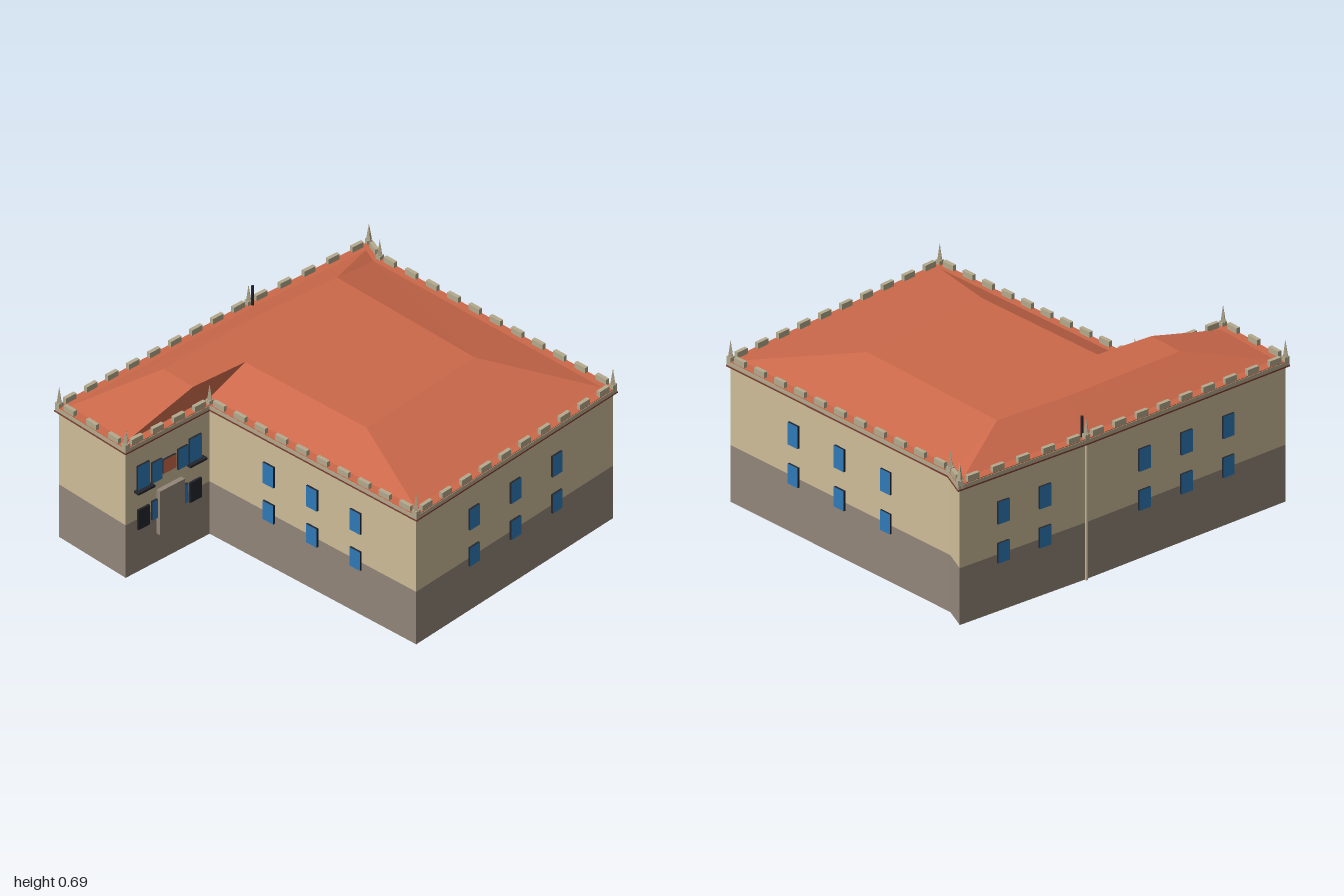
import * as THREE from 'three';

const mat = (name, color, side = THREE.FrontSide) => {
  const m = new THREE.MeshStandardMaterial({ color, side });
  m.name = name;
  return m;
};

// Wall corners in plan (x, z), running round the building from the back left corner
const PLAN = [
  [-0.985, -0.295], [-0.08, -0.65], [0.485, -0.85], [0.485, -0.74],
  [0.983, 0.362], [-0.005, 0.85], [-0.455, -0.105], [-0.853, 0.045],
];
// Top of the roof above each corner (the short chamfer shares one point)
const TOP = [
  [-0.58, -0.26], [-0.075, -0.467], [0.245, -0.57], [0.245, -0.57],
  [0.53, 0.105], [-0.016, 0.377], [-0.28, -0.187], [-0.52, -0.11],
];

// One wall line: length, outward normal, rotation and a point finder
function edge(i) {
  const a = PLAN[i], b = PLAN[(i + 1) % PLAN.length];
  const dx = b[0] - a[0], dz = b[1] - a[1], len = Math.hypot(dx, dz);
  const n = [dz / len, -dx / len];
  return {
    len, n, angle: Math.atan2(n[0], n[1]),
    at: (t, out = 0) => [a[0] + dx * t + n[0] * out, a[1] + dz * t + n[1] * out],
  };
}

// Mitred offset of the plan, positive is outward
function offset(d) {
  return PLAN.map((p, i) => {
    const n = edge((i + PLAN.length - 1) % PLAN.length).n, m = edge(i).n;
    const k = d / (1 + n[0] * m[0] + n[1] * m[1]);
    return [p[0] + (n[0] + m[0]) * k, p[1] + (n[1] + m[1]) * k];
  });
}

// Flat-sided slab over a plan outline
function slab(points, y0, y1) {
  const shape = new THREE.Shape(points.map(([x, z]) => new THREE.Vector2(x, z)));
  return new THREE.ExtrudeGeometry(shape, { depth: y1 - y0, bevelEnabled: false })
    .rotateX(Math.PI / 2).translate(0, y1, 0);
}

export function createModel() {
  const group = new THREE.Group();
  const wall = mat('sandWall', 0xcdbd98);
  const base = mat('stoneBase', 0x93867a);
  const trim = mat('stoneTrim', 0xb5aa8e);
  const roof = mat('terracottaRoof', 0xcc694b, THREE.DoubleSide);
  const eave = mat('brownEave', 0x7a4032);
  const glass = mat('blueGlass', 0x2f7ab8);
  const dark = mat('darkIron', 0x24262e);

  const add = (name, geometry, material, x = 0, y = 0, z = 0, ry = 0) => {
    const mesh = new THREE.Mesh(geometry, material);
    mesh.name = name;
    mesh.position.set(x, y, z);
    mesh.rotation.y = ry;
    group.add(mesh);
    return mesh;
  };

  // Body
  add('stoneBase', slab(PLAN, 0, 0.24), base);
  add('upperWalls', slab(PLAN, 0.24, 0.578), wall);
  add('eaveMoulding', slab(offset(0.013), 0.573, 0.579), eave);
  add('cornice', slab(offset(0.011), 0.579, 0.595), trim);
  add('roofBorder', slab(offset(0.009), 0.593, 0.598), roof);

  // Sloping roof faces rising to a flat top
  const foot = offset(-0.025), verts = [];
  foot.forEach((a, i) => {
    const j = (i + 1) % foot.length;
    const lo = p => [p[0], 0.597, p[1]], hi = p => [p[0], 0.685, p[1]];
    verts.push(...lo(a), ...hi(TOP[j]), ...lo(foot[j]));
    if (TOP[i] !== TOP[j] && i !== 2) verts.push(...lo(a), ...hi(TOP[i]), ...hi(TOP[j]));
  });
  const slopes = new THREE.BufferGeometry();
  slopes.setAttribute('position', new THREE.Float32BufferAttribute(verts, 3));
  slopes.computeVertexNormals();
  add('roofSlopes', slopes, roof);
  add('roofTop', slab(TOP.filter((p, i) => i !== 3), 0.675, 0.685), roof);

  // Battlements and corner pinnacles
  const merlon = new THREE.BoxGeometry(0.055, 0.028, 0.016);
  const spire = new THREE.ConeGeometry(0.013, 0.075, 4).toNonIndexed();
  spire.computeVertexNormals();
  const plinth = new THREE.BoxGeometry(0.022, 0.035, 0.022);
  PLAN.forEach((p, i) => {
    const e = edge(i), count = Math.round(e.len / 0.11);
    for (let k = 0; k < count; k++) {
      const [x, z] = e.at((k + 0.5) / count);
      add('merlon', merlon, trim, x, 0.608, z, e.angle);
    }
    add('pinnacleBase', plinth, trim, p[0], 0.598, p[1], e.angle);
    add('pinnacleSpire', spire, trim, p[0], 0.648, p[1], e.angle);
  });

  // Drainpipe and vent where the back wall bends
  const [bx, bz] = PLAN[1];
  add('drainpipe', new THREE.CylinderGeometry(0.006, 0.006, 0.575, 8), wall, bx, 0.2875, bz - 0.004);
  add('ventPipe', new THREE.CylinderGeometry(0.006, 0.006, 0.09, 8), dark, bx + 0.012, 0.64, bz + 0.012);

  // Panels fixed to a wall: dark sides, coloured face
  const panel = (name, i, t, y, w, h, d, face, sides = dark) => {
    const e = edge(i), [x, z] = e.at(t, d / 2);
    add(name, new THREE.BoxGeometry(w, h, d), [sides, sides, sides, sides, face, sides], x, y, z, e.angle);
  };
  const three = [0.29, 0.5, 0.71];
  const rows = { 0: three, 1: [0.33, 0.66], 3: three, 4: three, 5: three };
  for (const [i, spots] of Object.entries(rows)) {
    for (const t of spots) {
      panel('upperWindow', +i, t, 0.418, 0.055, 0.094, 0.009, glass);
      panel('lowerWindow', +i, t, 0.248, 0.055, 0.084, 0.009, glass);
    }
  }

  // Entrance front, numbered from the inner corner to the outer one
  for (const t of [0.18, 0.8]) {
    panel('balconyDoor', 6, t, 0.43, 0.06, 0.11, 0.009, glass);
    panel('balcony', 6, t, 0.373, 0.085, 0.01, 0.025, dark);
    panel('sideDoor', 6, t, 0.24, 0.058, 0.09, 0.009, dark);
  }
  for (const t of [0.33, 0.64]) {
    panel('entranceUpperWindow', 6, t, 0.42, 0.052, 0.092, 0.009, glass);
    panel('entranceLowerWindow', 6, t, 0.248, 0.052, 0.084, 0.009, glass);
  }
  panel('redPanel', 6, 0.49, 0.423, 0.066, 0.062, 0.009, roof);
  panel('entrancePorch', 6, 0.485, 0.23, 0.125, 0.2, 0.02, base, base);

  return group;
}
